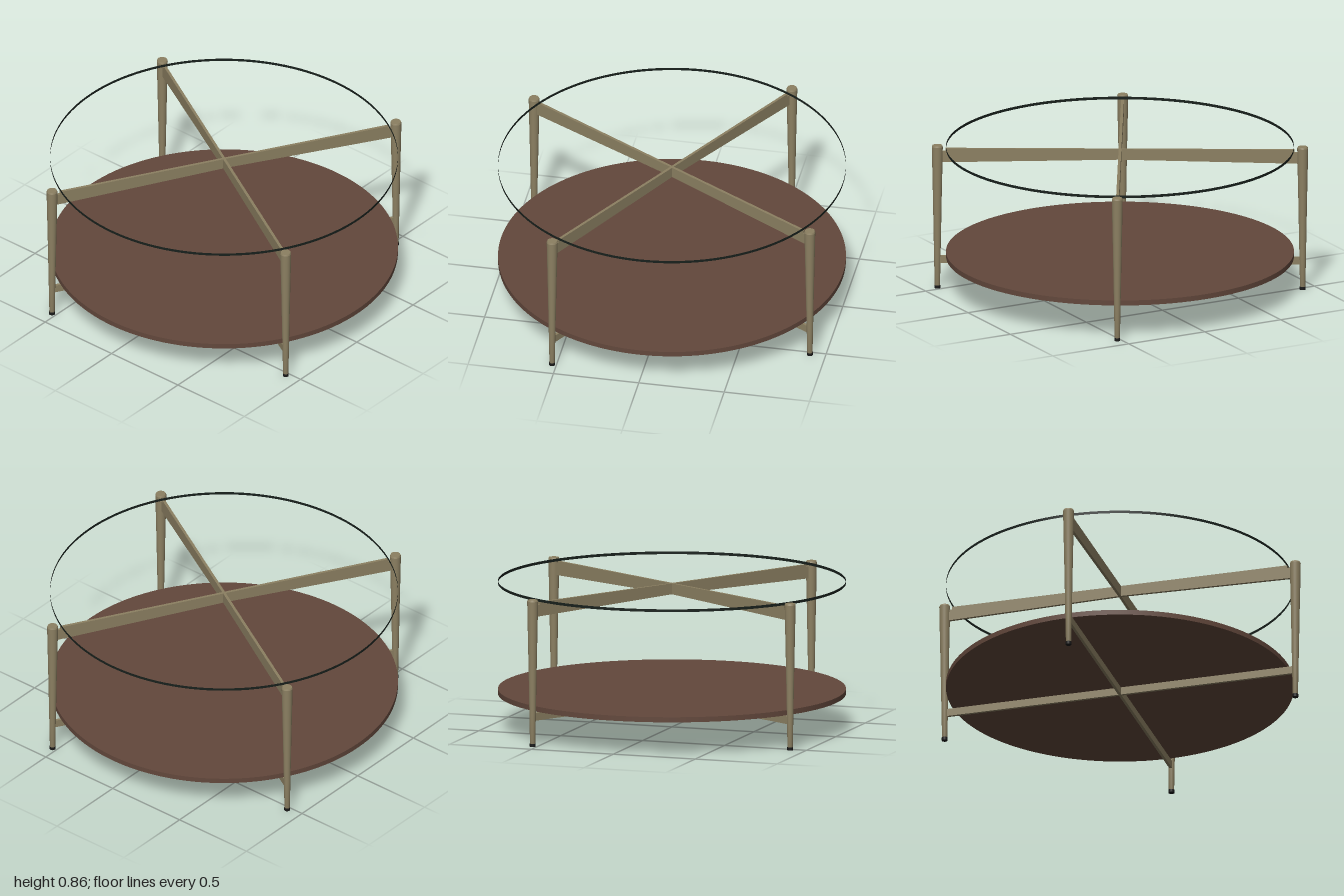
import * as THREE from 'three';

export function createModel() {
  const table = new THREE.Group();
  table.name = 'roundTable';

  const mat = (name, color, extra = {}) => {
    const m = new THREE.MeshStandardMaterial({ color, ...extra });
    m.name = name;
    return m;
  };
  const brass = mat('brass', 0x8c8062);
  const wood = mat('brownWood', 0x63483c);
  const rimDark = mat('darkGlassEdge', 0x18201c, { side: THREE.DoubleSide });
  const rubber = mat('blackRubber', 0x1a1a1a);

  const add = (parent, name, geometry, material, x = 0, y = 0, z = 0) => {
    const mesh = new THREE.Mesh(geometry, material);
    mesh.name = name;
    mesh.position.set(x, y, z);
    parent.add(mesh);
    return mesh;
  };

  const legRadius = 1.05;   // distance of the legs from the centre
  const beamWidth = 0.016;

  // Flat bar cut from an outline of [distance from centre, height] points
  const bar = (points) => {
    const shape = new THREE.Shape(points.map(([x, y]) => new THREE.Vector2(x, y)));
    const g = new THREE.ExtrudeGeometry(shape, { depth: beamWidth, bevelEnabled: false });
    return g.translate(0, 0, -beamWidth / 2);
  };

  // Upper beam deepens towards the leg and is notched at the glass edge
  const upperBeam = bar([
    [0, 0.775], [legRadius - 0.02, 0.755], [legRadius - 0.02, 0.822],
    [1.003, 0.822], [1.003, 0.838], [0, 0.838],
  ]);
  const lowerBeam = bar([
    [0, 0.15], [legRadius - 0.01, 0.15], [legRadius - 0.01, 0.195], [0, 0.195],
  ]);

  // Tapered leg with a softened top edge
  const legProfile = [
    [0, 0.016], [0.0155, 0.016], [0.019, 0.2], [0.0255, 0.55], [0.03, 0.76],
    [0.0315, 0.846], [0.0315, 0.846], [0.028, 0.855], [0.028, 0.855], [0, 0.855],
  ].map(([r, y]) => new THREE.Vector2(r, y));
  const leg = new THREE.LatheGeometry(legProfile, 32);
  const foot = new THREE.CylinderGeometry(0.017, 0.017, 0.018, 24);

  // Four identical arms, a quarter turn apart
  for (let i = 0; i < 4; i++) {
    const arm = new THREE.Group();
    arm.name = 'arm' + (i + 1);
    arm.rotation.y = -Math.PI / 6 + (i * Math.PI) / 2;
    add(arm, 'leg', leg, brass, legRadius);
    add(arm, 'foot', foot, rubber, legRadius, 0.009);
    add(arm, 'upperBeam', upperBeam, brass);
    add(arm, 'lowerBeam', lowerBeam, brass);
    table.add(arm);
  }

  // Wooden shelf resting on the lower beams
  add(table, 'shelf', new THREE.CylinderGeometry(1, 1, 0.03, 128), wood, 0, 0.21, 0);

  // Edge band of the clear top
  add(table, 'topRim', new THREE.CylinderGeometry(1, 1, 0.016, 128, 1, true), rimDark, 0, 0.846, 0);

  return table;
}
